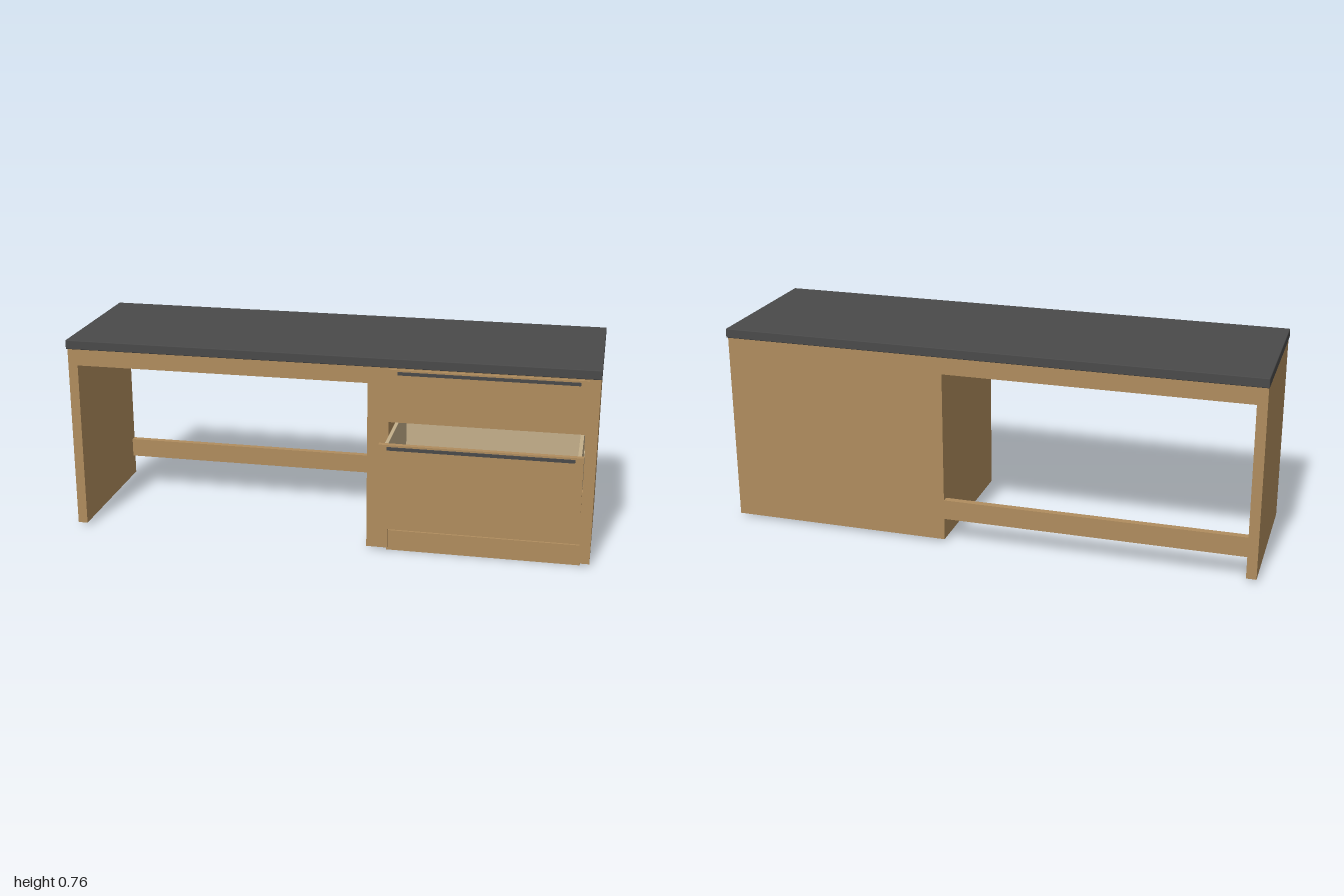
import * as THREE from 'three';
import { RoundedBoxGeometry } from 'three/addons/geometries/RoundedBoxGeometry.js';

const mat = (name, color) => {
  const m = new THREE.MeshStandardMaterial({ color });
  m.name = name;
  return m;
};

export function createModel() {
  const wood = mat('wood', 0xb08d5e);
  const paleWood = mat('paleWood', 0xc4af8a);
  const charcoal = mat('charcoal', 0x4a4a4a);
  const desk = new THREE.Group();
  desk.name = 'desk';

  // Box given by its extents along each axis
  const slab = (parent, name, material, [x0, x1], [y0, y1], [z0, z1], radius = 0) => {
    const size = [x1 - x0, y1 - y0, z1 - z0];
    const geo = radius ? new RoundedBoxGeometry(...size, 1, radius) : new THREE.BoxGeometry(...size);
    const mesh = new THREE.Mesh(geo, material);
    mesh.position.set((x0 + x1) / 2, (y0 + y1) / 2, (z0 + z1) / 2);
    mesh.name = name;
    parent.add(mesh);
  };

  const full = [0.012, 0.725], depth = [-0.395, 0.185];
  const inner = [0.24, 0.957];
  const back = [-0.395, -0.37];

  // Worktop and the open knee space
  slab(desk, 'worktop', charcoal, [-1, 1], [0.725, 0.76], [-0.405, 0.195], 0.003);
  slab(desk, 'endPanel', wood, [-0.997, -0.96], full, depth);
  slab(desk, 'middlePanel', wood, [0.16, 0.2], full, depth);
  slab(desk, 'frontRail', wood, [-0.96, 0.16], [0.66, 0.725], [0.16, 0.185]);
  slab(desk, 'backRail', wood, [-0.96, 0.16], [0.66, 0.725], back);
  slab(desk, 'stretcher', wood, [-0.96, 0.16], [0.095, 0.17], back);

  // Cabinet carcass
  const cabinet = new THREE.Group();
  cabinet.name = 'cabinet';
  desk.add(cabinet);
  slab(cabinet, 'leftSide', wood, [inner[1], 0.997], full, depth);
  slab(cabinet, 'rightSide', wood, [0.2, inner[0]], full, depth);
  slab(cabinet, 'cabinetBack', wood, inner, full, [-0.395, -0.36]);
  slab(cabinet, 'cabinetBottom', wood, inner, [0.088, 0.11], [-0.36, 0.165]);
  slab(cabinet, 'topFrontRail', wood, inner, [0.719, 0.725], [0.165, 0.185]);
  slab(cabinet, 'plinth', wood, [0.235, 0.962], [0, 0.08], [0.155, 0.175]);

  // Drawers: bottom and top edge of each front, and how far it is pulled out
  const drawers = [['topDrawer', 0.515, 0.716, 0], ['middleDrawer', 0.3, 0.505, 0.22], ['bottomDrawer', 0.088, 0.295, 0]];
  for (const [name, y0, y1, pull] of drawers) {
    const drawer = new THREE.Group();
    drawer.name = name;
    drawer.position.z = pull;
    desk.add(drawer);
    const boxY = [y0 + 0.011, y1 - 0.022];
    const floor = y0 + 0.023;
    const wallY = [floor, boxY[1]];
    const x0 = 0.25, x1 = 0.948, t = 0.013, z0 = -0.34, z1 = 0.165;
    slab(drawer, 'drawerFront', wood, inner, [y0, y1], [z1, 0.185]);
    slab(drawer, 'handle', charcoal, [0.27, 0.928], [y1 - 0.019, y1 - 0.007], [0.18, 0.189]);
    slab(drawer, 'drawerFloor', paleWood, [x0, x1], [boxY[0], floor], [z0, z1]);
    slab(drawer, 'drawerSideRight', paleWood, [x0, x0 + t], wallY, [z0, z1]);
    slab(drawer, 'drawerSideLeft', paleWood, [x1 - t, x1], wallY, [z0, z1]);
    slab(drawer, 'drawerBack', paleWood, [x0 + t, x1 - t], wallY, [z0, z0 + t]);
    slab(drawer, 'drawerInnerFront', paleWood, [x0 + t, x1 - t], wallY, [z1 - t, z1]);
  }
  return desk;
}
